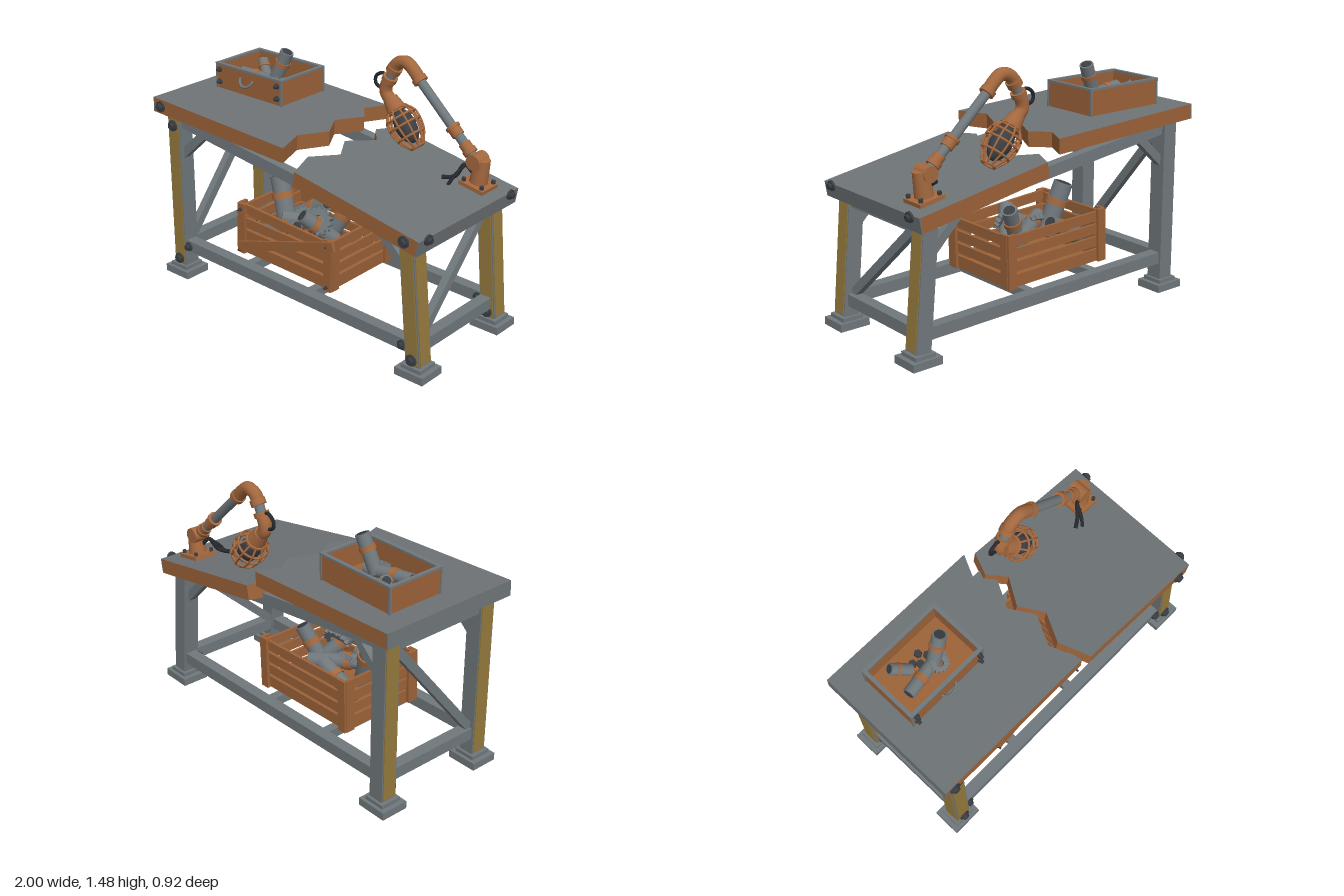
import * as THREE from 'three';

const mat = (name, color) => Object.assign(new THREE.MeshStandardMaterial({ color }), { name });
const V = (x, y, z) => new THREE.Vector3(x, y, z);
const UP = V(0, 1, 0);

export function createModel() {
  const root = new THREE.Group();
  root.name = 'brokenWorkbench';
  const steel = mat('steel grey', 0x70787c);
  const top = mat('tabletop grey', 0x6e7376);
  const wood = mat('wood brown', 0x9c6239);
  const copper = mat('copper', 0xa4683e);
  const ochre = mat('ochre paint', 0x94793c);
  const dark = mat('dark iron', 0x3a3f44);
  const black = mat('cable black', 0x26282d);

  const add = (parent, name, geo, m, x = 0, y = 0, z = 0, rx = 0, ry = 0, rz = 0) => {
    const mesh = new THREE.Mesh(geo, m);
    mesh.name = name;
    mesh.position.set(x, y, z);
    mesh.rotation.set(rx, ry, rz);
    parent.add(mesh);
    return mesh;
  };
  const group = (parent, name, x = 0, y = 0, z = 0, rz = 0) => {
    const g = new THREE.Group();
    g.name = name;
    g.position.set(x, y, z);
    g.rotation.z = rz;
    parent.add(g);
    return g;
  };
  const box = (p, name, w, h, d, m, ...t) => add(p, name, new THREE.BoxGeometry(w, h, d), m, ...t);
  const between = (mesh, a, b) => {
    mesh.position.copy(a).lerp(b, 0.5);
    mesh.quaternion.setFromUnitVectors(UP, b.clone().sub(a).normalize());
    return mesh;
  };
  const beam = (p, name, a, b, w, d, m) => between(box(p, name, w, a.distanceTo(b), d, m), a, b);
  const rod = (p, name, a, b, r, m) =>
    between(add(p, name, new THREE.CylinderGeometry(r, r, a.distanceTo(b), 20), m), a, b);
  const tube = (p, name, pts, r, m) =>
    add(p, name, new THREE.TubeGeometry(new THREE.CatmullRomCurve3(pts), 28, r, 12), m);

  // Hexagonal bolt whose head points along +z, or along x when side is +-1
  const bolt = (p, x, y, z, r = 0.033, side = 0) => {
    const b = group(p, 'bolt', x, y, z);
    b.rotation.y = side * Math.PI / 2;
    add(b, 'washer', new THREE.CylinderGeometry(r, r, 0.014, 16), dark, 0, 0, 0.004, Math.PI / 2);
    add(b, 'boltHead', new THREE.CylinderGeometry(r * 0.6, r * 0.75, 0.018, 6), dark, 0, 0, 0.018, Math.PI / 2);
  };

  // Open-looking pipe scrap with a copper collar near its upper end
  const pipe = (p, a, b, r) => {
    rod(p, 'scrapPipe', a, b, r, steel);
    const d = b.clone().sub(a);
    const at = (t) => a.clone().addScaledVector(d, t);
    rod(p, 'pipeCollar', at(0.58), at(0.7), r * 1.16, copper);
    rod(p, 'pipeBore', at(0.9), at(1.01), r * 0.76, dark);
  };

  const gear = (p, r, x, y, z, rx, ry) => {
    const s = new THREE.Shape();
    const n = 14;
    for (let i = 0; i < n * 4; i++) {
      const a = (i / (n * 4)) * Math.PI * 2, q = i % 4 < 2 ? r : r * 0.82;
      s[i ? 'lineTo' : 'moveTo'](Math.cos(a) * q, Math.sin(a) * q);
    }
    s.holes.push(new THREE.Path().absarc(0, 0, r * 0.4, 0, Math.PI * 2, true));
    add(p, 'gear', new THREE.ExtrudeGeometry(s, { depth: 0.03, bevelEnabled: false }), steel, x, y, z, rx, ry);
  };

  // Snapped tabletop halves
  const slab = (name, outline, x, y, rz, endX, endSide) => {
    const g = group(root, name, x, y, 0, rz);
    const geo = new THREE.ExtrudeGeometry(new THREE.Shape(outline.map(([u, v]) => new THREE.Vector2(u, v))),
      { depth: 0.088, bevelEnabled: false });
    geo.rotateX(Math.PI / 2);
    add(g, 'board', geo, [top, wood]);
    box(g, 'endStrip', 0.008, 0.088, 0.89, top, endX + endSide * 0.004, -0.044, -0.01);
    return g;
  };
  const zs = [-0.455, -0.32, -0.22, -0.06, 0.08, 0.25, 0.435];
  const leftBreak = [0.03, -0.035, 0.05, -0.035, 0.05, -0.035, 0.03];
  const rightBreak = [0.11, 0.055, 0.14, 0.04, 0.13, 0.04, 0.11];
  const leftTop = slab('leftTabletop',
    [[0, -0.455], ...zs.map((z, i) => [leftBreak[i] + 0.995, z]), [0, 0.435]], -0.995, 1.135, -0.045, 0, -1);
  const rightTop = slab('rightTabletop',
    [[0, -0.455], ...zs.map((z, i) => [(rightBreak[i] - 0.945) / 0.985, z]), [0, 0.435]], 0.945, 0.83, -0.17, 0, 1);
  bolt(leftTop, 0.055, -0.043, 0.435);
  bolt(rightTop, -0.08, -0.01 - 0.03, 0.435);
  bolt(rightTop, 0.008, -0.01, 0.36, 0.03, 1);
  bolt(rightTop, 0.008, -0.01, -0.375, 0.03, 1);

  // Legs with painted outer and front faces, standing on plates
  const legZ = [0.34, -0.35];
  for (const z of legZ) for (const s of [-1, 1]) {
    const L = s < 0 ? 0.98 : 0.705;
    const leg = group(root, 'leg', s < 0 ? -0.89 : 0.902, 0.068, z, s < 0 ? 0 : 0.09);
    box(leg, 'legPost', 0.094, L, 0.1, steel, 0, L / 2);
    box(leg, 'frontPaint', 0.08, L - 0.02, 0.006, ochre, 0, L / 2, 0.052);
    box(leg, 'sidePaint', 0.006, L - 0.02, 0.086, ochre, s * 0.049, L / 2, 0);
    bolt(leg, 0, 0.04, 0.055);
    if (s < 0) bolt(leg, 0, L - 0.075, 0.055);
    const fx = s < 0 ? -0.893 : 0.9;
    box(root, 'foot', 0.188, 0.045, 0.17, steel, fx, 0.0225, z);
    box(root, 'footStep', 0.13, 0.025, 0.13, steel, fx, 0.055, z);
  }

  // Rails and braces
  for (const z of legZ) {
    beam(root, 'lowerRail', V(-0.86, 0.2, z), V(0.88, 0.162, z), 0.07, 0.07, steel);
    beam(root, 'upperRail', V(-0.86, 1.0, z), V(0.83, 0.785, z), 0.07, 0.06, steel);
    beam(root, 'leftKneeBrace', V(-0.87, 0.78, z), V(-0.62, 1.01, z), 0.05, 0.045, steel);
    beam(root, 'rightKneeBrace', V(0.81, 0.6, z), V(0.61, 0.8, z), 0.05, 0.045, steel);
    bolt(root, -0.825, 0.198, z + 0.036, 0.028);
    bolt(root, 0.82, 0.164, z + 0.036, 0.028);
  }
  const cross = (name, x, y, w = 0.07) => box(root, name, w, w, 0.66, steel, x, y, -0.005);
  cross('leftLowerCrossRail', -0.89, 0.2);
  cross('rightLowerCrossRail', 0.885, 0.165);
  cross('leftUpperCrossRail', -0.89, 0.99);
  cross('rightUpperCrossRail', 0.85, 0.72, 0.05);
  cross('crateSupport', -0.38, 0.185, 0.055);
  cross('crateSupport', 0.1, 0.175, 0.055);
  beam(root, 'leftSideBrace', V(-0.89, 0.22, 0.3), V(-0.89, 0.97, -0.31), 0.045, 0.05, steel);
  beam(root, 'rightSideBrace', V(0.87, 0.19, 0.3), V(0.84, 0.75, -0.31), 0.045, 0.05, steel);

  // Slatted crate of scrap
  const crate = group(root, 'crate', -0.14, 0.222, 0, -0.03);
  box(crate, 'crateFloor', 0.7, 0.02, 0.5, wood, 0, 0.012, 0);
  for (const s of [-1, 1]) {
    for (let i = 0; i < 4; i++) {
      const y = 0.05 + i * 0.077;
      box(crate, 'longSlat', 0.69, 0.058, 0.018, wood, 0, y, s * 0.25, 0, 0, s > 0 && i === 3 ? -0.035 : 0);
      box(crate, 'endSlat', 0.018, 0.058, 0.5, wood, s * 0.342, y, 0);
    }
    for (const t of [-1, 1]) {
      box(crate, 'facePost', 0.056, 0.32, 0.02, wood, s * 0.338, 0.165, t * 0.268);
      box(crate, 'endPost', 0.02, 0.32, 0.056, wood, s * 0.36, 0.165, t * 0.235);
      for (const y of [0.03, 0.29]) bolt(crate, s * 0.338, y, t > 0 ? 0.275 : -0.262, 0.01);
    }
  }
  beam(crate, 'looseSlat', V(-0.34, 0.055, 0.288), V(0.39, 0.31, 0.288), 0.055, 0.018, wood);
  pipe(root, V(-0.31, 0.36, 0.04), V(-0.415, 0.665, 0), 0.058);
  pipe(root, V(-0.05, 0.36, -0.02), V(0.075, 0.61, -0.09), 0.045);
  pipe(root, V(0.02, 0.38, 0.0), V(-0.1, 0.55, 0.15), 0.045);
  pipe(root, V(0.0, 0.42, -0.1), V(-0.3, 0.46, 0.1), 0.045);
  pipe(root, V(-0.4, 0.36, 0.12), V(-0.15, 0.46, 0.14), 0.04);
  pipe(root, V(-0.42, 0.36, -0.12), V(-0.18, 0.5, -0.15), 0.045);
  gear(root, 0.085, -0.04, 0.5, 0.06, -0.5, 0.2);
  gear(root, 0.07, -0.2, 0.45, 0.02, -0.9, 0);

  // Drawer tray on the left half
  const tray = group(root, 'drawerTray', -0.6, 1.122, -0.125);
  box(tray, 'trayFloor', 0.51, 0.016, 0.35, wood, 0, 0.014, 0);
  for (const s of [-1, 1]) {
    box(tray, 'trayLongWall', 0.52, 0.145, 0.014, wood, 0, 0.083, s * 0.174);
    box(tray, 'trayEndWall', 0.014, 0.145, 0.36, wood, s * 0.254, 0.083, 0);
    box(tray, 'longRim', 0.53, 0.012, 0.022, steel, 0, 0.158, s * 0.174);
    box(tray, 'endRim', 0.022, 0.012, 0.37, steel, s * 0.254, 0.158, 0);
    for (const t of [-1, 1]) box(tray, 'trayCorner', 0.012, 0.155, 0.012, steel, s * 0.259, 0.083, t * 0.179);
    for (const y of [0.05, 0.125]) bolt(tray, s * 0.232, y, 0.182, 0.016);
  }
  add(tray, 'handle', new THREE.TorusGeometry(0.05, 0.008, 8, 20, Math.PI), steel, -0.005, 0.115, 0.19, Math.PI * 0.82);
  pipe(tray, V(0.05, 0.06, 0.02), V(0.138, 0.265, -0.005), 0.04);
  pipe(tray, V(0.12, 0.07, 0.01), V(-0.17, 0.09, 0.06), 0.036);
  pipe(tray, V(-0.06, 0.05, -0.04), V(-0.15, 0.13, -0.1), 0.032);
  gear(tray, 0.055, 0.06, 0.08, 0.05, -1.2, 0);
  for (const [x, z] of [[-0.03, -0.06], [0.03, -0.08], [0.06, -0.04], [0, -0.03]])
    add(tray, 'nut', new THREE.CylinderGeometry(0.022, 0.022, 0.025, 6), dark, x, 0.035, z);

  // Lamp base, jointed arm and elbows
  const lamp = group(root, 'lamp', 0, 0, -0.288);
  box(lamp, 'lampPlate', 0.16, 0.025, 0.15, copper, 0.8, 0.865, 0, 0, 0, -0.17);
  const foot = group(lamp, 'lampFoot', 0.8, 0.868, 0, -0.17);
  foot.position.y = 0.87;
  for (const x of [-0.06, 0.06]) for (const z of [-0.055, 0.055])
    add(foot, 'plateBolt', new THREE.CylinderGeometry(0.012, 0.012, 0.02, 6), dark, x, 0.018, z);
  add(foot, 'footBoss', new THREE.CylinderGeometry(0.042, 0.052, 0.14, 20), copper, 0, 0.08, 0);
  add(lamp, 'footJoint', new THREE.CylinderGeometry(0.045, 0.045, 0.1, 20), copper, 0.79, 1.0, 0, Math.PI / 2);
  const lo = V(0.79, 0.99, 0), hi = V(0.365, 1.385, 0);
  const onArm = (t) => lo.clone().lerp(hi, t);
  rod(lamp, 'arm', lo, hi, 0.027, steel);
  for (const [a, b, r] of [[0.1, 0.15, 0.04], [0.15, 0.22, 0.034], [0.31, 0.4, 0.036], [0.39, 0.42, 0.042], [0.93, 0.98, 0.043]])
    rod(lamp, 'armCollar', onArm(a), onArm(b), r, copper);
  tube(lamp, 'topElbow', [V(0.39, 1.36, 0), V(0.34, 1.415, 0), V(0.29, 1.447, 0), V(0.23, 1.43, 0), V(0.2, 1.385, 0)], 0.037, copper);
  rod(lamp, 'elbowCollar', V(0.215, 1.405, 0), V(0.195, 1.375, 0), 0.044, copper);
  rod(lamp, 'neck', V(0.205, 1.39, 0), V(0.165, 1.31, 0), 0.029, steel);
  tube(lamp, 'lowerElbow', [V(0.175, 1.33, 0), V(0.15, 1.28, 0), V(0.15, 1.24, 0), V(0.185, 1.2, 0)], 0.037, copper);
  rod(lamp, 'lowerElbowCollar', V(0.18, 1.34, 0), V(0.168, 1.315, 0), 0.044, copper);
  tube(lamp, 'cableLoop', [V(0.17, 1.33, 0), V(0.12, 1.35, 0), V(0.075, 1.32, 0), V(0.075, 1.28, 0), V(0.11, 1.26, 0), V(0.15, 1.25, 0)], 0.01, black);

  // Caged lamp head
  const head = group(lamp, 'lampHead', 0.168, 1.225, 0);
  head.quaternion.setFromUnitVectors(UP, V(0.22, -0.26, 0).normalize());
  add(head, 'socket', new THREE.CylinderGeometry(0.06, 0.042, 0.09, 20), copper, 0, 0.06, 0);
  const bulb = add(head, 'bulb', new THREE.SphereGeometry(0.062, 20, 14), dark, 0, 0.195, 0);
  bulb.scale.y = 1.75;
  const cage = [[0.058, 0.09], [0.09, 0.14], [0.095, 0.19], [0.082, 0.26], [0.04, 0.33]];
  for (let i = 0; i < 10; i++) {
    const a = (i / 10) * Math.PI * 2;
    tube(head, 'cageRib', cage.map(([r, y]) => V(Math.cos(a) * r, y, Math.sin(a) * r)), 0.006, copper);
  }
  for (const [r, y] of cage)
    add(head, 'cageRing', new THREE.TorusGeometry(r, 0.007, 8, 28), copper, 0, y, 0, Math.PI / 2);

  // Torn cables above and below the board
  tube(root, 'upperCable', [V(0.78, 0.93, -0.27), V(0.735, 0.975, -0.25), V(0.7, 0.91, -0.21), V(0.64, 0.9, -0.17)], 0.012, black);
  tube(root, 'tornStrand', [V(0.735, 0.975, -0.25), V(0.71, 0.92, -0.19), V(0.69, 0.87, -0.16)], 0.01, black);
  tube(root, 'lowerCable', [V(0.67, 0.82, -0.18), V(0.61, 0.74, -0.12), V(0.66, 0.67, -0.06), V(0.6, 0.6, 0.0)], 0.013, black);
  tube(root, 'lowerStrand', [V(0.61, 0.74, -0.12), V(0.64, 0.7, -0.08), V(0.69, 0.66, -0.05)], 0.009, black);
  rod(root, 'cableSheath', V(0.605, 0.605, 0), V(0.545, 0.545, 0.05), 0.016, dark);
  rod(root, 'cableTip', V(0.55, 0.55, 0.05), V(0.49, 0.525, 0.08), 0.01, copper);
  return root;
}
